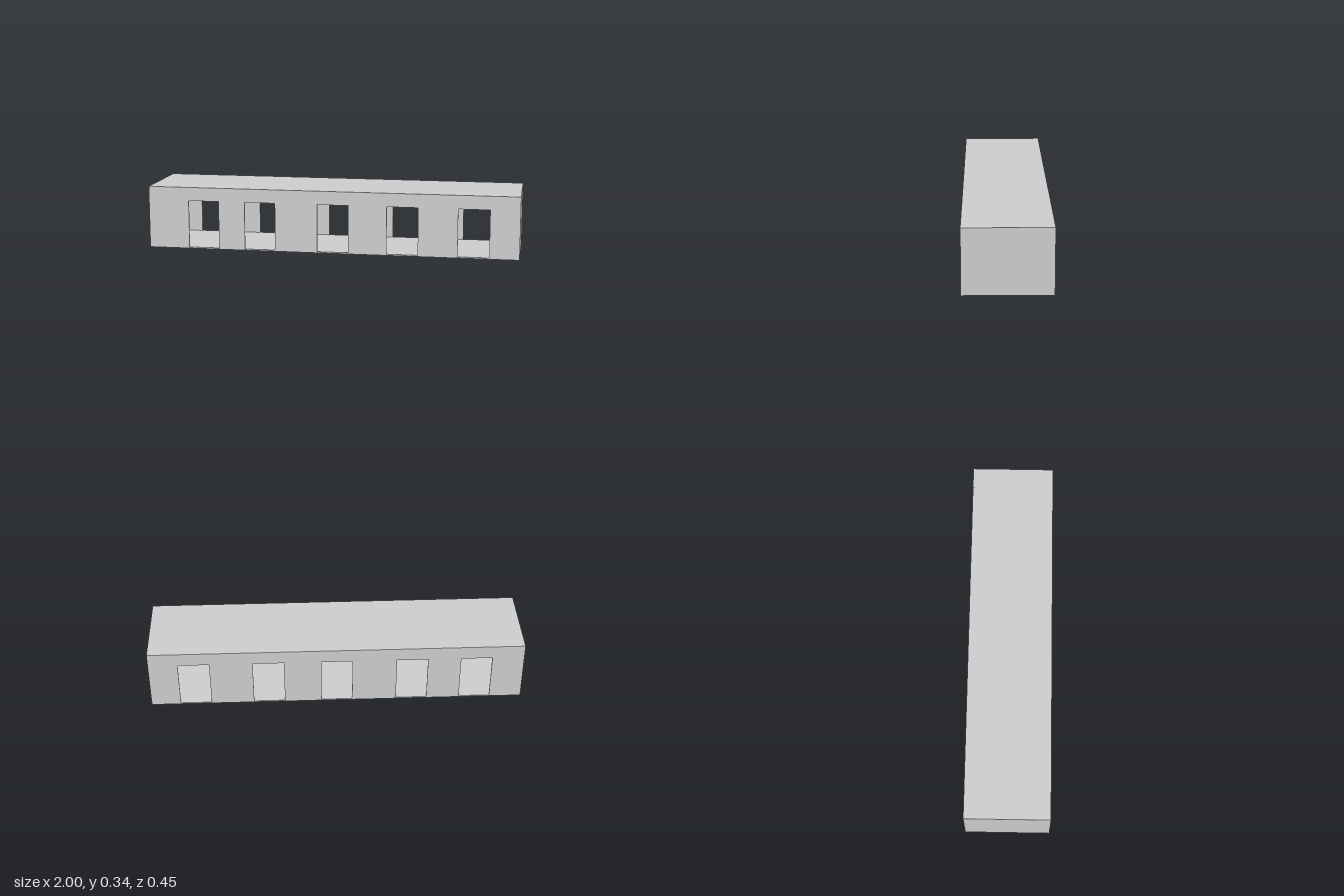
import * as THREE from 'three';

const LENGTH = 2, HEIGHT = 0.335, DEPTH = 0.448;
const T = 0.007;          // thickness of walls and floor
const CEILING = 0.262;    // underside of the thick roof, level with the door heads
const DOOR_W = 0.166;

// Left edge (x) of each doorway
const FRONT_DOORS = [-0.778, -0.468, -0.072, 0.301, 0.677];
const BACK_DOORS = [-0.829, -0.486, -0.083, 0.281, 0.677];

export function createModel() {
  const group = new THREE.Group();
  const material = new THREE.MeshStandardMaterial({ color: 0xcccccc, flatShading: true });

  const add = (name, geometry, x, y, z) => {
    const mesh = new THREE.Mesh(geometry, material);
    mesh.name = name;
    mesh.position.set(x, y, z);
    group.add(mesh);
  };

  // Long wall with a row of rectangular doorways
  const wallGeometry = (doors) => {
    const h = LENGTH / 2;
    const shape = new THREE.Shape([
      new THREE.Vector2(-h, 0), new THREE.Vector2(h, 0),
      new THREE.Vector2(h, HEIGHT), new THREE.Vector2(-h, HEIGHT),
    ]);
    for (const x of doors) {
      shape.holes.push(new THREE.Path([
        new THREE.Vector2(x, T), new THREE.Vector2(x, CEILING),
        new THREE.Vector2(x + DOOR_W, CEILING), new THREE.Vector2(x + DOOR_W, T),
      ]));
    }
    return new THREE.ExtrudeGeometry(shape, { depth: T, bevelEnabled: false });
  };
  add('frontWall', wallGeometry(FRONT_DOORS), 0, 0, DEPTH / 2 - T);
  add('backWall', wallGeometry(BACK_DOORS), 0, 0, -DEPTH / 2);

  // Closed end walls between the long walls
  const innerDepth = DEPTH - 2 * T, innerLength = LENGTH - 2 * T;
  for (const [name, side] of [['leftEndWall', 1], ['rightEndWall', -1]]) {
    add(name, new THREE.BoxGeometry(T, HEIGHT, innerDepth), side * (LENGTH - T) / 2, HEIGHT / 2, 0);
  }

  // Thin floor and thick flat roof
  add('floor', new THREE.BoxGeometry(innerLength, T, innerDepth), 0, T / 2, 0);
  const roofH = HEIGHT - CEILING;
  add('roof', new THREE.BoxGeometry(innerLength, roofH, innerDepth), 0, CEILING + roofH / 2, 0);

  return group;
}
